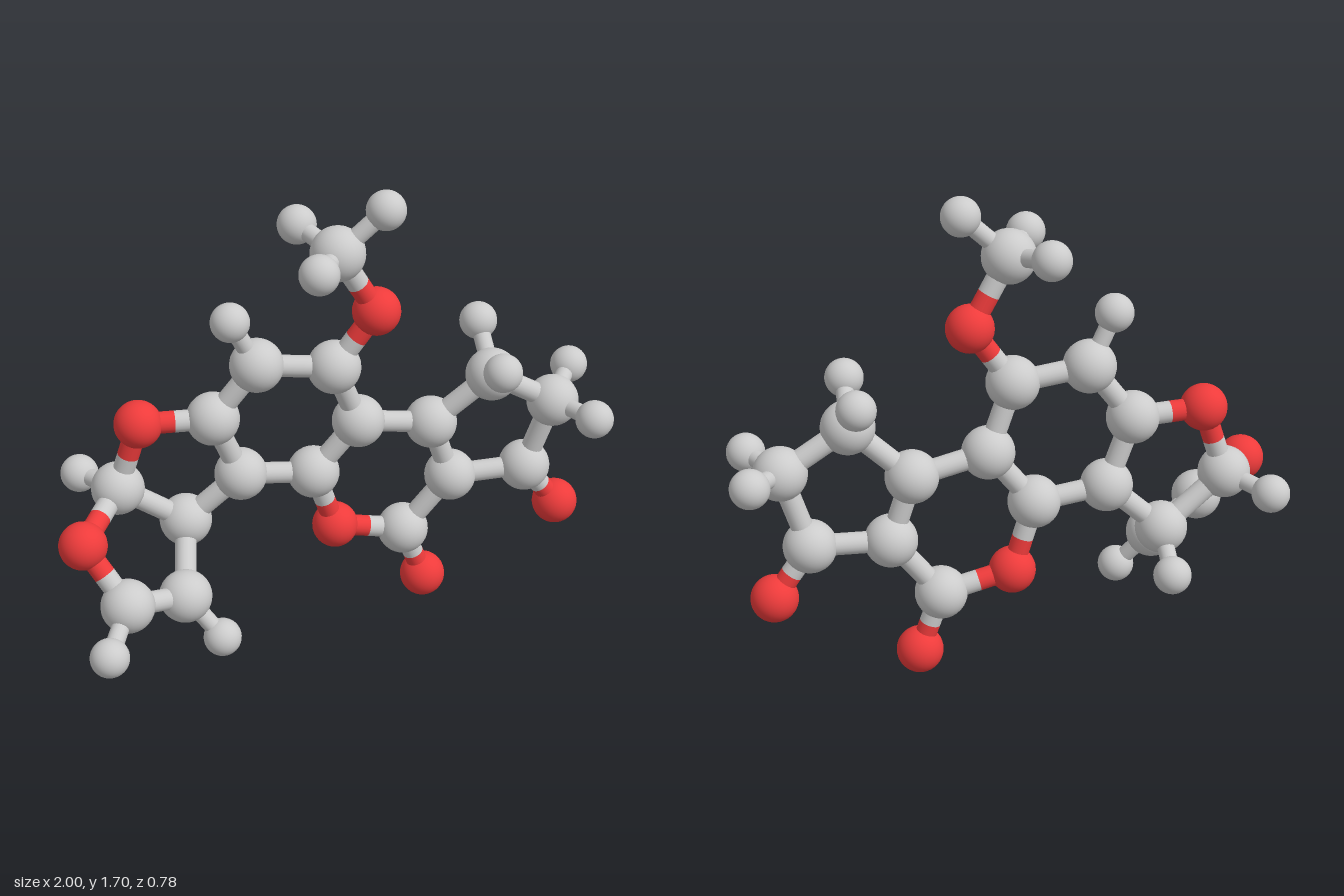
import * as THREE from 'three';

const GREY = new THREE.MeshStandardMaterial({ color: 0xcccccc });
const RED = new THREE.MeshStandardMaterial({ color: 0xee3b3b });
const RADIUS = { C: 0.093, O: 0.083, H: 0.067 };

// Atom positions; the first letter of each key is the element
const ATOMS = {
  // methoxy group
  C1: [0.0, 1.49, 0.0], O1: [0.14, 1.255, -0.01],
  H1: [0.155, 1.635, 0.03], H2: [-0.115, 1.505, 0.165], H3: [-0.085, 1.53, -0.18],
  // six-carbon ring
  C2: [0.0, 1.05, -0.04], C3: [-0.265, 1.085, -0.07], C4: [-0.415, 0.885, -0.105],
  C5: [-0.32, 0.64, -0.115], C6: [-0.06, 0.61, -0.095], C7: [0.095, 0.81, -0.06],
  H4: [-0.355, 1.265, -0.06],
  // two fused oxygen rings on the right-hand side
  O2: [-0.67, 0.895, -0.13], C8: [-0.75, 0.64, -0.155], C9: [-0.515, 0.46, -0.16],
  O3: [-0.917, 0.566, 0.05], C10: [-0.8, 0.37, 0.165], C11: [-0.58, 0.3, 0.073],
  H5: [-0.853, 0.62, -0.325], H6: [-0.495, 0.355, -0.32],
  H7: [-0.9, 0.29, 0.323], H8: [-0.47, 0.145, 0.14],
  // lactone ring
  O4: [0.025, 0.36, -0.11], C12: [0.28, 0.305, -0.09], O5: [0.362, 0.085, -0.09],
  C13: [0.445, 0.525, -0.055], C14: [0.365, 0.76, -0.055],
  // five-carbon ring
  C15: [0.72, 0.535, -0.02], O6: [0.853, 0.353, -0.02],
  C16: [0.8, 0.81, 0.015], C17: [0.565, 0.95, 0.005],
  H9: [0.93, 0.855, -0.14], H10: [0.88, 0.815, 0.195],
  H11: [0.57, 1.085, -0.15], H12: [0.53, 1.05, 0.18],
};

// Chains of bonded atoms
const CHAINS = [
  'C2 C3 C4 C5 C6 C7 C2', 'C2 O1 C1 H1', 'H2 C1 H3', 'C3 H4',
  'C4 O2 C8 C9 C5', 'C8 O3 C10 C11 C9', 'C8 H5', 'C9 H6', 'C10 H7', 'C11 H8',
  'C6 O4 C12 C13 C14 C7', 'C12 O5',
  'C13 C15 C16 C17 C14', 'C15 O6', 'H9 C16 H10', 'H11 C17 H12',
];

const UP = new THREE.Vector3(0, 1, 0);
const paint = (key) => (key[0] === 'O' ? RED : GREY);
const NAMES = { C: 'carbonAtom', O: 'oxygenAtom', H: 'hydrogenAtom' };

// Open cylinder between two points
function rod(a, b, radius, material) {
  const dir = b.clone().sub(a);
  const mesh = new THREE.Mesh(new THREE.CylinderGeometry(radius, radius, dir.length(), 20, 1, true), material);
  mesh.position.copy(a).lerp(b, 0.5);
  mesh.quaternion.setFromUnitVectors(UP, dir.normalize());
  mesh.name = 'bondHalf';
  return mesh;
}

// Bond coloured half by half after the atoms at its ends
function bond(p, q) {
  const a = new THREE.Vector3(...ATOMS[p]);
  const b = new THREE.Vector3(...ATOMS[q]);
  const radius = p[0] === 'H' || q[0] === 'H' ? 0.031 : 0.038;
  const group = new THREE.Group();
  group.name = 'bond';
  // halves meet where the visible length between the two balls is split evenly
  const t = 0.5 + (RADIUS[p[0]] - RADIUS[q[0]]) / (2 * a.distanceTo(b));
  const mid = a.clone().lerp(b, t);
  group.add(rod(a, mid, radius, paint(p)), rod(mid, b, radius, paint(q)));
  return group;
}

export function createModel() {
  const model = new THREE.Group();
  model.name = 'ballAndStickMolecule';

  const atoms = new THREE.Group();
  atoms.name = 'atoms';
  const balls = {};
  for (const e in RADIUS) balls[e] = new THREE.SphereGeometry(RADIUS[e], 32, 20);
  for (const [key, pos] of Object.entries(ATOMS)) {
    const ball = new THREE.Mesh(balls[key[0]], paint(key));
    ball.position.set(...pos);
    ball.name = NAMES[key[0]];
    atoms.add(ball);
  }

  const bonds = new THREE.Group();
  bonds.name = 'bonds';
  for (const chain of CHAINS) {
    const keys = chain.split(' ');
    for (let i = 1; i < keys.length; i++) bonds.add(bond(keys[i - 1], keys[i]));
  }

  model.add(atoms, bonds);
  return model;
}
